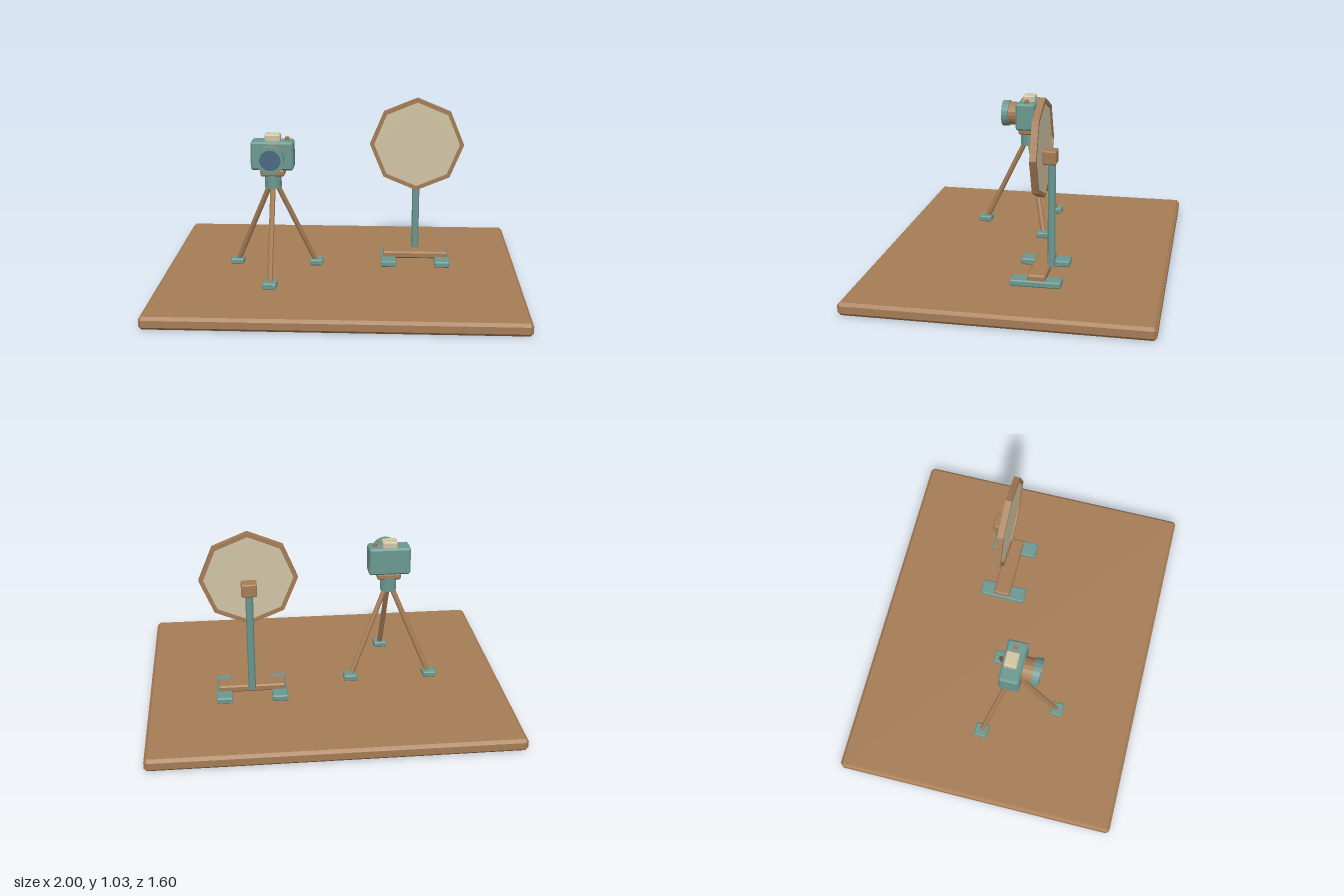
import * as THREE from 'three';
import { ConvexGeometry } from 'three/addons/geometries/ConvexGeometry.js';

const material = (color) => new THREE.MeshStandardMaterial({ color, flatShading: true });
const wood = material(0xa57c55);
const teal = material(0x6b9890);
const cream = material(0xd0c4a4);
const glass = material(0x4a6a80);

function add(parent, name, geometry, mat, x = 0, y = 0, z = 0) {
  const mesh = new THREE.Mesh(geometry, mat);
  mesh.name = name;
  mesh.position.set(x, y, z);
  parent.add(mesh);
  return mesh;
}

// Box with every edge cut at 45 degrees
function chamferBox(w, h, d, c) {
  const points = [];
  for (const sx of [-0.5, 0.5]) for (const sy of [-0.5, 0.5]) for (const sz of [-0.5, 0.5]) {
    for (let axis = 0; axis < 3; axis++) {
      const size = [w, h, d].map((s, i) => (i === axis ? s : s - 2 * c));
      points.push(new THREE.Vector3(sx * size[0], sy * size[1], sz * size[2]));
    }
  }
  return new ConvexGeometry(points);
}

// Straight round bar between two points
function addRod(parent, name, a, b, radius, sides, mat) {
  const mesh = add(parent, name, new THREE.CylinderGeometry(radius, radius, a.distanceTo(b), sides), mat);
  mesh.position.copy(a).lerp(b, 0.5);
  mesh.quaternion.setFromUnitVectors(new THREE.Vector3(0, 1, 0), b.clone().sub(a).normalize());
  return mesh;
}

function polygon(Type, radius, sides) {
  const points = [];
  for (let i = 0; i < sides; i++) {
    const a = Math.PI / 2 + (i / sides) * Math.PI * 2;
    points.push(new THREE.Vector2(Math.cos(a) * radius, Math.sin(a) * radius));
  }
  return new Type(points);
}

// Flat ring or disc with straight sides, centred on z
function plate(radius, hole, depth, sides) {
  const shape = polygon(THREE.Shape, radius, sides);
  if (hole) shape.holes.push(polygon(THREE.Path, hole, sides));
  return new THREE.ExtrudeGeometry(shape, { depth, bevelEnabled: false }).translate(0, 0, -depth / 2);
}

function createTripod() {
  const tripod = new THREE.Group();
  tripod.name = 'tripod';
  for (let i = 0; i < 3; i++) {
    const a = (i / 3) * Math.PI * 2;
    const at = (r, y) => new THREE.Vector3(Math.sin(a) * r, y, Math.cos(a) * r);
    addRod(tripod, 'tripodLeg', at(0.262, 0.088), at(0.012, 0.6), 0.015, 8, wood);
    const foot = at(0.265, 0.087);
    add(tripod, 'tripodFoot', chamferBox(0.076, 0.034, 0.076, 0.006), teal, foot.x, foot.y, foot.z);
  }
  add(tripod, 'collar', new THREE.CylinderGeometry(0.047, 0.047, 0.085, 12), teal, 0, 0.61, 0.003);
  add(tripod, 'mountingPlate', chamferBox(0.134, 0.038, 0.09, 0.008), wood, 0, 0.657, 0.007);
  return tripod;
}

function createCamera() {
  const camera = new THREE.Group();
  camera.name = 'camera';
  add(camera, 'cameraBody', chamferBox(0.235, 0.158, 0.113, 0.01), teal, 0, 0.755, 0.003);
  add(camera, 'viewfinder', chamferBox(0.085, 0.042, 0.072, 0.006), cream, 0, 0.849, -0.006);
  add(camera, 'shutterButton', new THREE.CylinderGeometry(0.013, 0.013, 0.024, 10), wood, 0.081, 0.841, -0.003);
  // Lens barrel, front ring and recessed glass
  add(camera, 'lensBarrel', plate(0.068, 0, 0.08, 20), wood, 0, 0.753, 0.09);
  add(camera, 'lensRing', plate(0.076, 0.058, 0.04, 20), teal, 0, 0.753, 0.134);
  add(camera, 'lensGlass', plate(0.058, 0, 0.018, 20), glass, 0, 0.753, 0.136);
  return camera;
}

function createReflector() {
  const reflector = new THREE.Group();
  reflector.name = 'reflectorStand';
  // Octagonal screen and its frame
  add(reflector, 'reflectorFrame', plate(0.267, 0.244, 0.035, 8), wood, 0, 0.767, -0.141);
  add(reflector, 'reflectorPanel', plate(0.246, 0, 0.018, 8), cream, 0, 0.767, -0.141);
  add(reflector, 'reflectorBracket', chamferBox(0.085, 0.074, 0.073, 0.006), wood, 0, 0.725, -0.186);
  // Post and foot frame
  const post = new THREE.CylinderGeometry(0.021, 0.021, 0.585, 8);
  add(reflector, 'post', post, teal, 0, 0.4075, -0.194);
  add(reflector, 'crossbar', chamferBox(0.374, 0.04, 0.098, 0.008), wood, 0, 0.114, -0.144);
  for (const side of [-1, 1]) {
    add(reflector, 'standFoot', chamferBox(0.088, 0.034, 0.27, 0.006), teal, side * 0.154, 0.087, -0.14);
  }
  return reflector;
}

export function createModel() {
  const model = new THREE.Group();
  model.name = 'photoSet';
  add(model, 'floorBoard', chamferBox(2, 0.07, 1.6, 0.016), wood, 0, 0.035, 0);
  const tripod = createTripod();
  const camera = createCamera();
  for (const part of [tripod, camera]) part.position.set(-0.375, 0, 0.082);
  const reflector = createReflector();
  reflector.position.x = 0.425;
  model.add(tripod, camera, reflector);
  return model;
}
